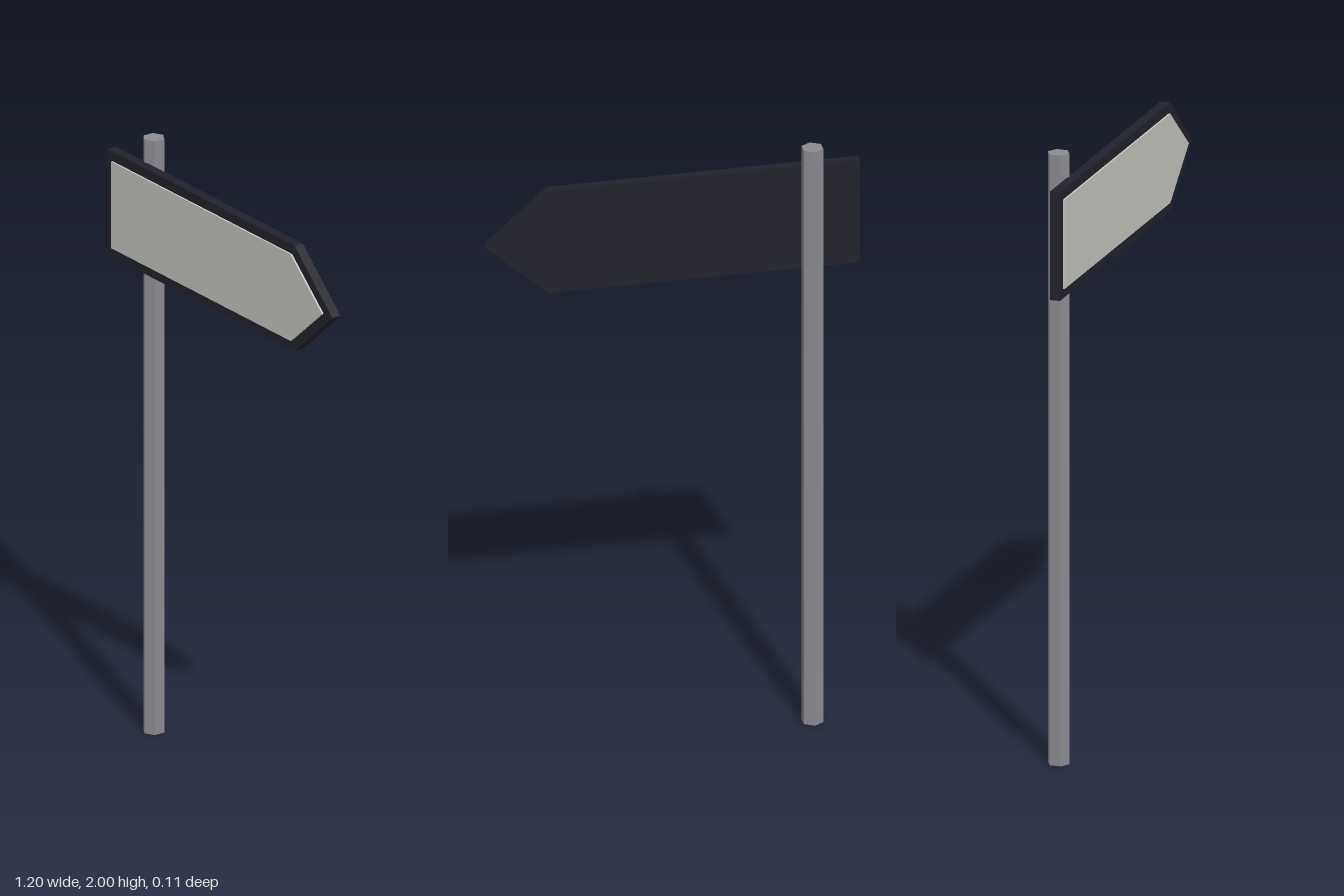
import * as THREE from 'three';

const material = (name, color) => {
  const m = new THREE.MeshStandardMaterial({ color, flatShading: true });
  m.name = name;
  return m;
};

// Arrow-shaped plate pointing to +x, extruded from zBack to zFront
function arrowPlate(name, left, shoulder, tip, halfHeight, zBack, zFront, mat) {
  const midY = 1.745;
  const shape = new THREE.Shape([
    [left, midY - halfHeight],
    [shoulder, midY - halfHeight],
    [tip, midY],
    [shoulder, midY + halfHeight],
    [left, midY + halfHeight],
  ].map(([x, y]) => new THREE.Vector2(x, y)));
  const geometry = new THREE.ExtrudeGeometry(shape, { depth: zFront - zBack, bevelEnabled: false });
  geometry.translate(0, 0, zBack);
  const mesh = new THREE.Mesh(geometry, mat);
  mesh.name = name;
  return mesh;
}

export function createModel() {
  const model = new THREE.Group();
  model.name = 'directionSign';

  const steel = material('grey steel', 0x8a8a90);
  const dark = material('dark navy', 0x22222c);
  const pale = material('pale grey', 0xc8c8c2);

  // Hexagonal post standing behind the board
  const post = new THREE.Mesh(new THREE.CylinderGeometry(0.036, 0.036, 2, 6), steel);
  post.name = 'post';
  post.position.set(-0.44, 1, -0.019);
  model.add(post);

  // Dark board with a thin pale face raised on its front
  model.add(arrowPlate('board', -0.6, 0.397, 0.598, 0.178, 0.012, 0.044, dark));
  model.add(arrowPlate('facePanel', -0.572, 0.384, 0.552, 0.146, 0.044, 0.05, pale));

  return model;
}
